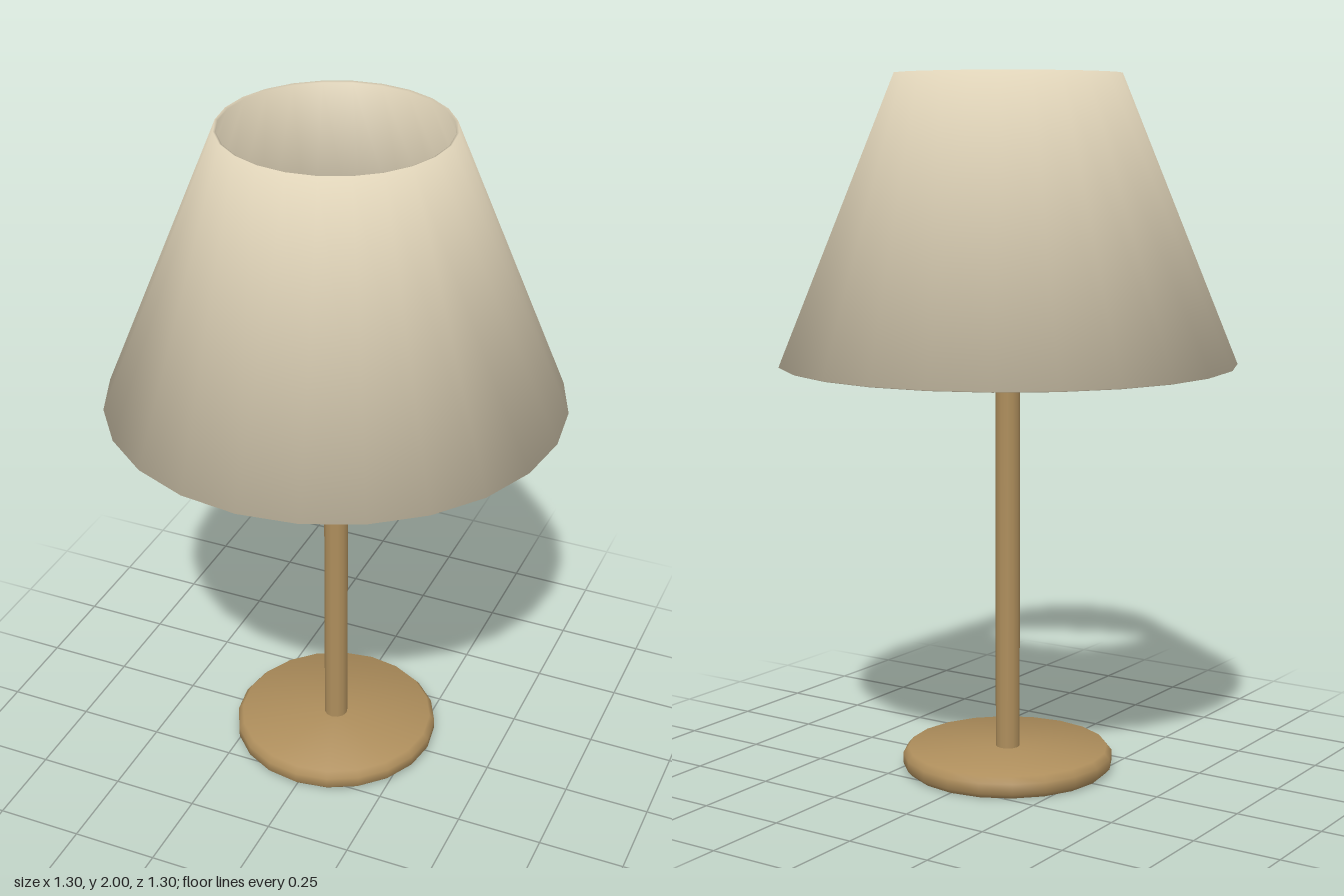
import * as THREE from 'three';

// Lathe whose normals blend evenly across every profile corner.
function softLathe(profile, sides, closed) {
  const pts = profile.map(([r, y]) => new THREE.Vector2(r, y));
  if (closed) pts.push(pts[0].clone());
  const segNormals = pts.slice(1).map((p, i) =>
    new THREE.Vector2(p.y - pts[i].y, pts[i].x - p.x).normalize());
  const last = segNormals.length;
  const normals = pts.map((_, j) => {
    const before = segNormals[j > 0 ? j - 1 : closed ? last - 1 : 0];
    const after = segNormals[j < last ? j : closed ? 0 : last - 1];
    return before.clone().add(after).normalize();
  });
  const geometry = new THREE.LatheGeometry(pts, sides);
  const attr = geometry.attributes.normal;
  for (let i = 0; i <= sides; i++) {
    const a = (i / sides) * Math.PI * 2;
    normals.forEach((n, j) =>
      attr.setXYZ(i * pts.length + j, n.x * Math.sin(a), n.y, n.x * Math.cos(a)));
  }
  return geometry;
}

export function createModel() {
  const group = new THREE.Group();
  group.name = 'tableLamp';
  const fabric = new THREE.MeshStandardMaterial({ color: 0xdfd3b8 });
  fabric.name = 'cream fabric';
  const wood = new THREE.MeshStandardMaterial({ color: 0xae8e5c });
  wood.name = 'warm wood';

  const add = (name, geometry, material) => {
    const mesh = new THREE.Mesh(geometry, material);
    mesh.name = name;
    group.add(mesh);
    return mesh;
  };

  // Rounded disc foot
  add('base', softLathe([
    [0, 0], [0.29, 0], [0.305, 0.015], [0.305, 0.045], [0.29, 0.063], [0, 0.063],
  ], 20, false), wood);

  // Slim pole ending inside the shade
  const bottom = 0.05, top = 1.3;
  const pole = add('pole', new THREE.CylinderGeometry(0.035, 0.035, top - bottom, 12), wood);
  pole.position.y = (bottom + top) / 2;

  // Open conical shade: a thin wall offset square to its slope
  const [r0, y0, r1, y1, wall] = [0.65, 1.19, 0.32, 2, 0.008];
  const slope = new THREE.Vector2(y1 - y0, r0 - r1).setLength(wall);
  add('shade', softLathe([
    [r0, y0], [r1, y1], [r1 - slope.x, y1 - slope.y], [r0 - slope.x, y0 - slope.y],
  ], 24, true), fabric);

  return group;
}
